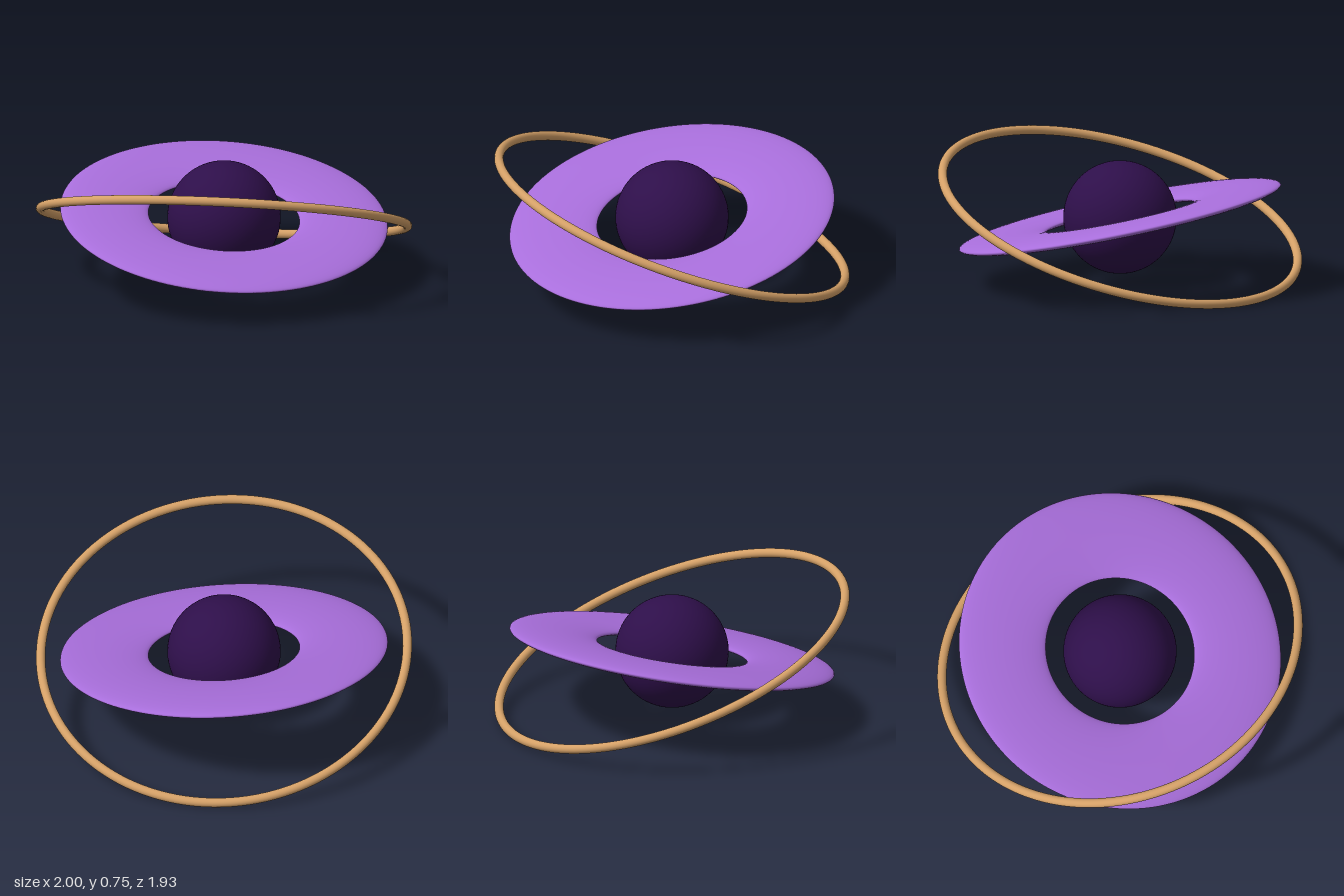
import * as THREE from 'three';

const CENTER_Y = 0.375;

function material(name, color) {
  const m = new THREE.MeshStandardMaterial({ color });
  m.name = name;
  return m;
}

// Torus lying flat in the xz plane, optionally squashed in height
function flatTorus(radius, tube, heightScale, radialSegments) {
  return new THREE.TorusGeometry(radius, tube, radialSegments, 128)
    .rotateX(Math.PI / 2)
    .scale(1, heightScale, 1);
}

export function createModel() {
  const model = new THREE.Group();
  model.name = 'ringedPlanet';

  function add(name, geometry, mat, rx = 0, rz = 0) {
    const mesh = new THREE.Mesh(geometry, mat);
    mesh.name = name;
    mesh.position.y = CENTER_Y;
    mesh.rotation.set(rx, 0, rz);
    model.add(mesh);
  }

  // Central sphere
  add('planet', new THREE.SphereGeometry(0.305, 64, 48), material('darkViolet', 0x2e0f4a));

  // Broad flattened disc, low at the front
  add('disc', flatTorus(0.645, 0.238, 0.15, 40), material('purple', 0xa86edb), 0.209);

  // Thin outer ring, high at the front and right
  add('outerRing', flatTorus(0.988, 0.025, 1, 20), material('gold', 0xd4a067), -0.325, -0.163);

  return model;
}
